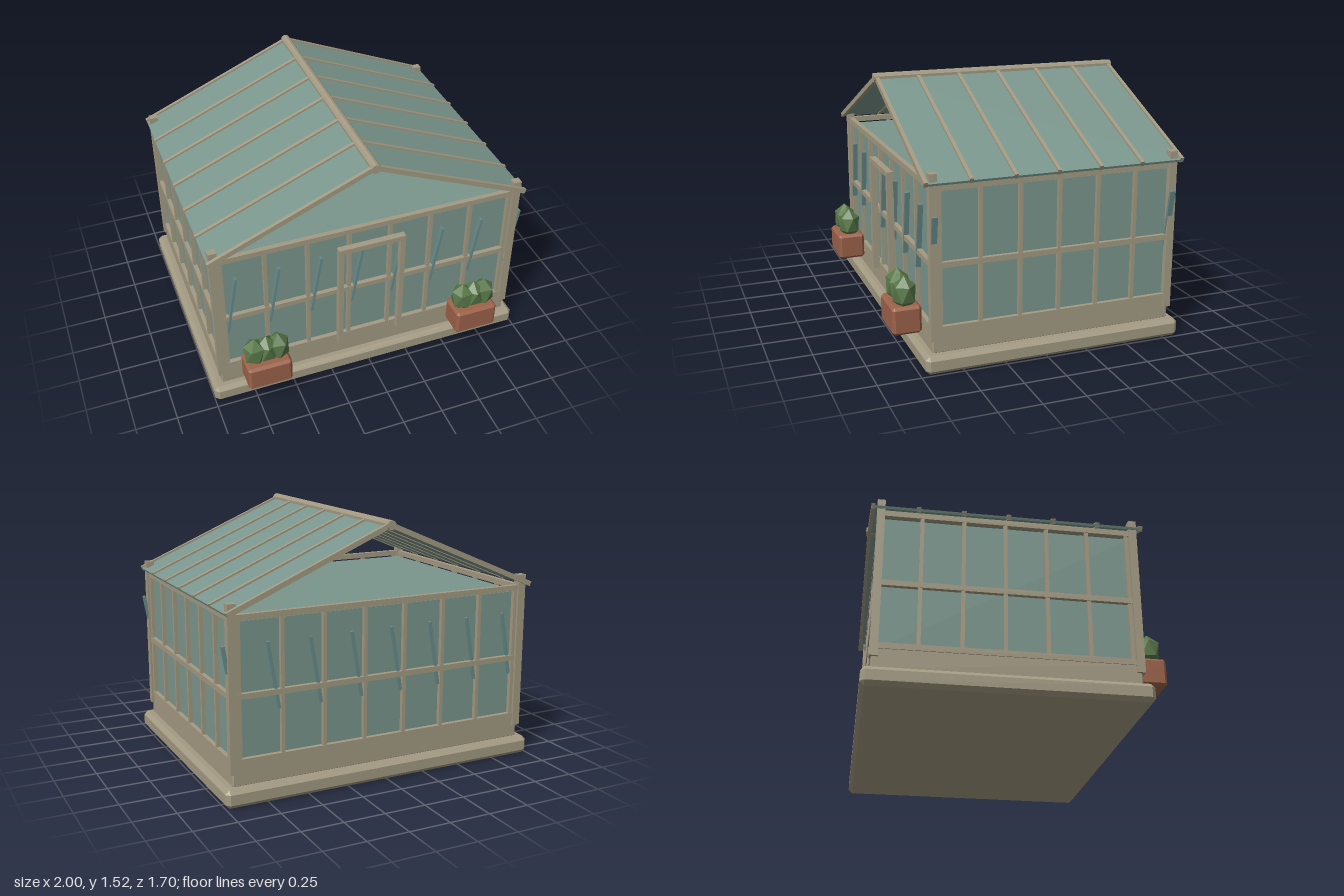
import * as THREE from 'three';
import { ConvexGeometry } from 'three/addons/geometries/ConvexGeometry.js';

const mat = (name, color, flatShading = false) => {
  const m = new THREE.MeshStandardMaterial({ color, flatShading });
  m.name = name;
  return m;
};

export function createModel() {
  const wood = mat('weathered wood', 0xa39a82);
  const glass = mat('glass', 0x7a968d);
  const glint = mat('glass glint', 0x678a8a);
  const clay = mat('terracotta', 0x9c6249);
  const leaf = mat('foliage', 0x587848, true);

  const model = new THREE.Group();
  model.name = 'greenhouse';
  const ZC = -0.0625; // middle of the building in z

  const add = (name, geo, material, x, y, z, parent = model) => {
    const m = new THREE.Mesh(geo, material);
    m.name = name;
    m.position.set(x, y, z);
    parent.add(m);
    return m;
  };
  const box = (name, material, w, h, d, x, y, z, parent) =>
    add(name, new THREE.BoxGeometry(w, h, d), material, x, y, z, parent);

  // Box with every edge chamfered by c
  const chamferBox = (w, h, d, c) => {
    const pts = [];
    for (const i of [-1, 1]) for (const j of [-1, 1]) for (const k of [-1, 1])
      for (let a = 0; a < 3; a++)
        pts.push(new THREE.Vector3(
          i * (w / 2 - (a === 0 ? 0 : c)),
          j * (h / 2 - (a === 1 ? 0 : c)),
          k * (d / 2 - (a === 2 ? 0 : c))));
    return new ConvexGeometry(pts);
  };

  // Foundation and plinth
  add('foundation', chamferBox(2, 0.108, 1.566, 0.024), wood, 0, 0.054, ZC);
  add('plinth', chamferBox(1.89, 0.135, 1.464, 0.008), wood, 0, 0.17, ZC);

  // Glazed body
  box('glassBody', glass, 1.85, 0.795, 1.415, 0, 0.6275, ZC);

  // Corner posts
  for (const sx of [-1, 1]) for (const sz of [-1, 1])
    box('cornerPost', wood, 0.05, 0.95, 0.045, sx * 0.935, 0.655, ZC + sz * 0.72);

  // Horizontal rails: height, thickness
  for (const [y, h] of [[0.243, 0.035], [0.615, 0.032], [1.05, 0.034]])
    for (const s of [-1, 1]) {
      box('endRail', wood, 1.87, h, 0.03, 0, y, ZC + s * 0.72);
      box('sideRail', wood, 0.03, h, 1.44, s * 0.935, y, ZC);
    }

  // Mullions and slanted glints on the front and back
  for (let i = 0; i < 8; i++) {
    const x = -0.896 + i * 0.256;
    for (const s of [-1, 1]) {
      box('endMullion', wood, 0.022, 0.8, 0.025, x, 0.643, ZC + s * 0.72);
      const g = box('glint', glint, 0.015, 0.39, 0.033, x + 0.05, 0.708, ZC + 0.005 + s * 0.715);
      g.rotation.z = -0.167;
    }
  }
  // Mullions on the sides
  for (let i = 0; i < 7; i++)
    for (const s of [-1, 1])
      box('sideMullion', wood, 0.025, 0.8, 0.022, s * 0.935, 0.643, 0.62 - i * 0.234);

  // Door frame
  for (const s of [-1, 1])
    box('doorJamb', wood, 0.03, 0.735, 0.04, s * 0.193, 0.588, 0.69);
  box('doorLintel', wood, 0.416, 0.032, 0.04, 0, 0.94, 0.69);

  // Roof slopes with rafters
  const slope = 0.402, len = 1.055;
  for (const s of [-1, 1]) {
    const side = new THREE.Group();
    side.name = s > 0 ? 'leftRoof' : 'rightRoof';
    side.position.set(0, 1.487, 0);
    side.rotation.z = -s * slope;
    box('roofGlass', glass, len, 0.014, 1.535, s * len / 2, 0, ZC, side);
    for (let i = 0; i < 7; i++)
      box('rafter', wood, len, 0.03, 0.022, s * len / 2, 0.003, ZC + (i - 3) * 0.255, side);
    model.add(side);
  }
  const ridgeGeo = new THREE.CylinderGeometry(0.028, 0.028, 1.57, 10).toNonIndexed();
  ridgeGeo.computeVertexNormals();
  add('ridgePole', ridgeGeo, wood, 0, 1.49, ZC).rotation.x = Math.PI / 2;

  // Planters with three faceted shrubs each
  const shrubGeo = new THREE.IcosahedronGeometry(1, 0);
  shrubGeo.rotateX(-Math.atan((1 + Math.sqrt(5)) / 2));
  for (const x of [-0.685, 0.66]) {
    const planter = new THREE.Group();
    planter.name = 'planter';
    planter.position.set(x, 0, 0.765);
    add('pot', chamferBox(0.27, 0.165, 0.17, 0.016), clay, 0, 0.2525, 0, planter);
    for (let i = -1; i <= 1; i++) {
      const shrub = add('shrub', shrubGeo, leaf, i * 0.072, 0.4, 0, planter);
      shrub.scale.set(0.074, 0.1, 0.074);
      shrub.rotation.y = i * 0.5;
    }
    model.add(planter);
  }

  return model;
}
